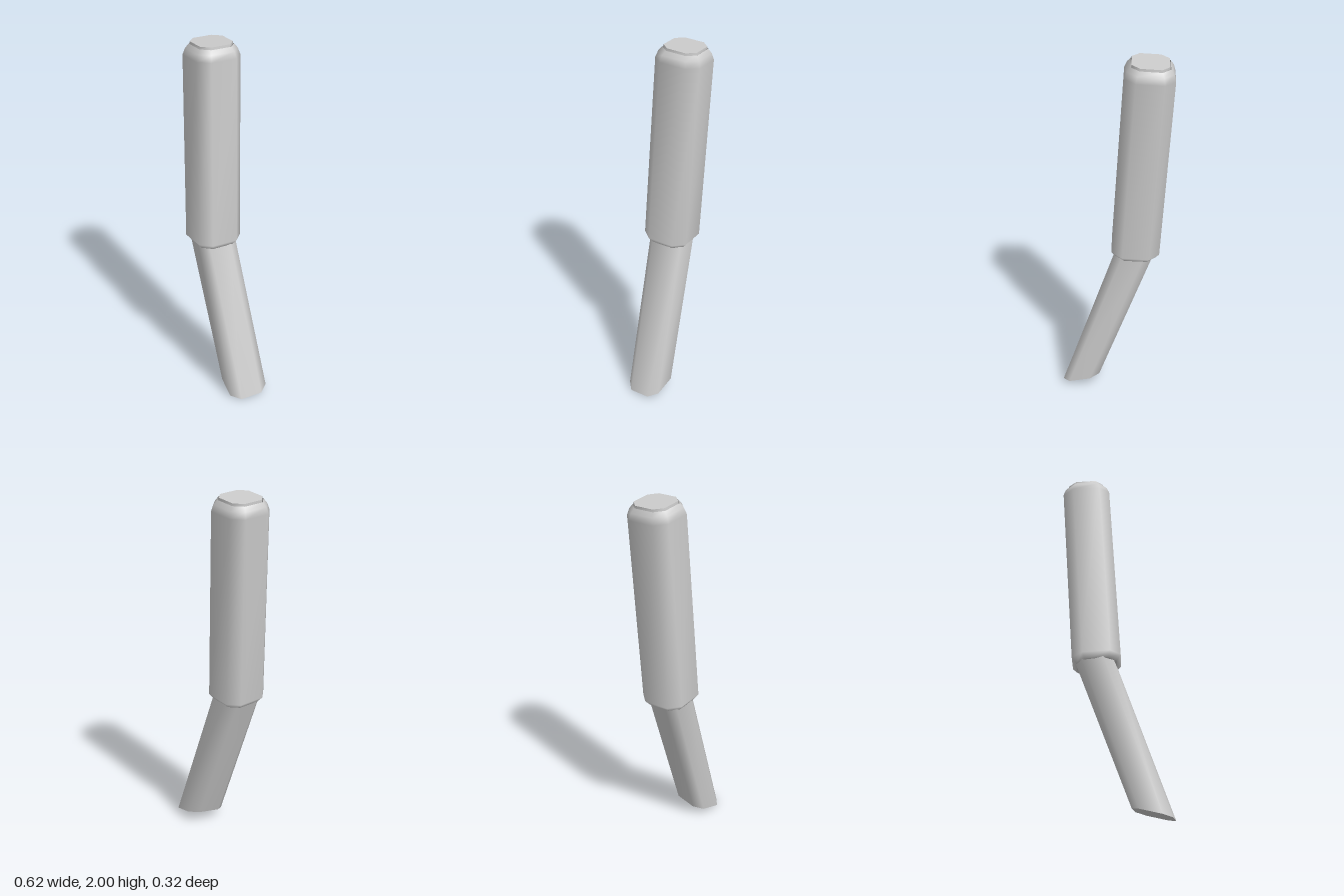
import * as THREE from 'three';

// Eight-sided sections: four corners, the other four by point symmetry
const mirror = (half) => [...half, ...half.map(([x, z]) => [-x, -z])];
const GRIP = mirror([[0.14, -0.057], [0.09, -0.12], [-0.057, -0.14], [-0.12, -0.09]]);
const STEM = mirror([[0.12, -0.033], [0.09, -0.088], [-0.025, -0.118], [-0.085, -0.083]]);

// Ring of points around a centre; the plane may lean in x and z
function ring(section, cx, cy, cz, scale, leanX, leanZ) {
  return section.map(([x, z]) => {
    const dx = x * scale, dz = z * scale;
    return new THREE.Vector3(cx + dx, cy + leanX * dx + leanZ * dz, cz + dz);
  });
}

// Smooth skin through rings ordered from bottom to top
function loft(rings) {
  const n = rings[0].length;
  const index = [];
  for (let r = 0; r < rings.length - 1; r++) {
    for (let i = 0; i < n; i++) {
      const j = (i + 1) % n;
      const a = r * n + i, b = r * n + j, c = a + n, d = b + n;
      index.push(a, b, d, a, d, c);
    }
  }
  const geometry = new THREE.BufferGeometry().setFromPoints(rings.flat());
  geometry.setIndex(index);
  geometry.computeVertexNormals();
  return geometry;
}

// Flat lid over a ring, facing up or down
function lid(points, up) {
  const index = [];
  for (let i = 1; i < points.length - 1; i++) {
    index.push(0, up ? i : i + 1, up ? i + 1 : i);
  }
  const geometry = new THREE.BufferGeometry().setFromPoints(points);
  geometry.setIndex(index);
  geometry.computeVertexNormals();
  return geometry;
}

export function createModel() {
  const group = new THREE.Group();
  const material = new THREE.MeshStandardMaterial({ color: 0xcccccc, side: THREE.DoubleSide });
  const add = (name, geometry) => {
    const mesh = new THREE.Mesh(geometry, material);
    mesh.name = name;
    group.add(mesh);
  };

  // Thick grip, leaning slightly, with bevelled ends
  const gripRing = (y, scale) => {
    const t = (y - 0.88) / 1.04;
    return ring(GRIP, -0.11 - 0.06 * t, y, 0.022 - 0.043 * t, scale, 0.058, 0.04);
  };
  const gripRings = [
    [0.85, 0.82], [0.88, 1], [1.92, 1], [1.955, 0.91], [1.978, 0.78],
  ].map(([y, s]) => gripRing(y, s));
  add('grip', loft(gripRings));
  add('gripUnderside', lid(gripRings[0], false));

  // Low button on the top end
  const buttonRings = [gripRing(1.975, 0.75), gripRing(1.99, 0.74)];
  add('buttonSide', loft(buttonRings));
  add('buttonTop', lid(buttonRings[1], true));

  // Slanted stem, its foot cut at an angle
  const foot = ring(STEM, 0.19, 0.036, 0.033, 1, -0.22, -0.2);
  const neck = ring(STEM, -0.12, 0.885, 0.022, 1, 0, 0);
  add('stem', loft([foot, neck]));
  add('stemFoot', lid(foot, false));

  return group;
}
